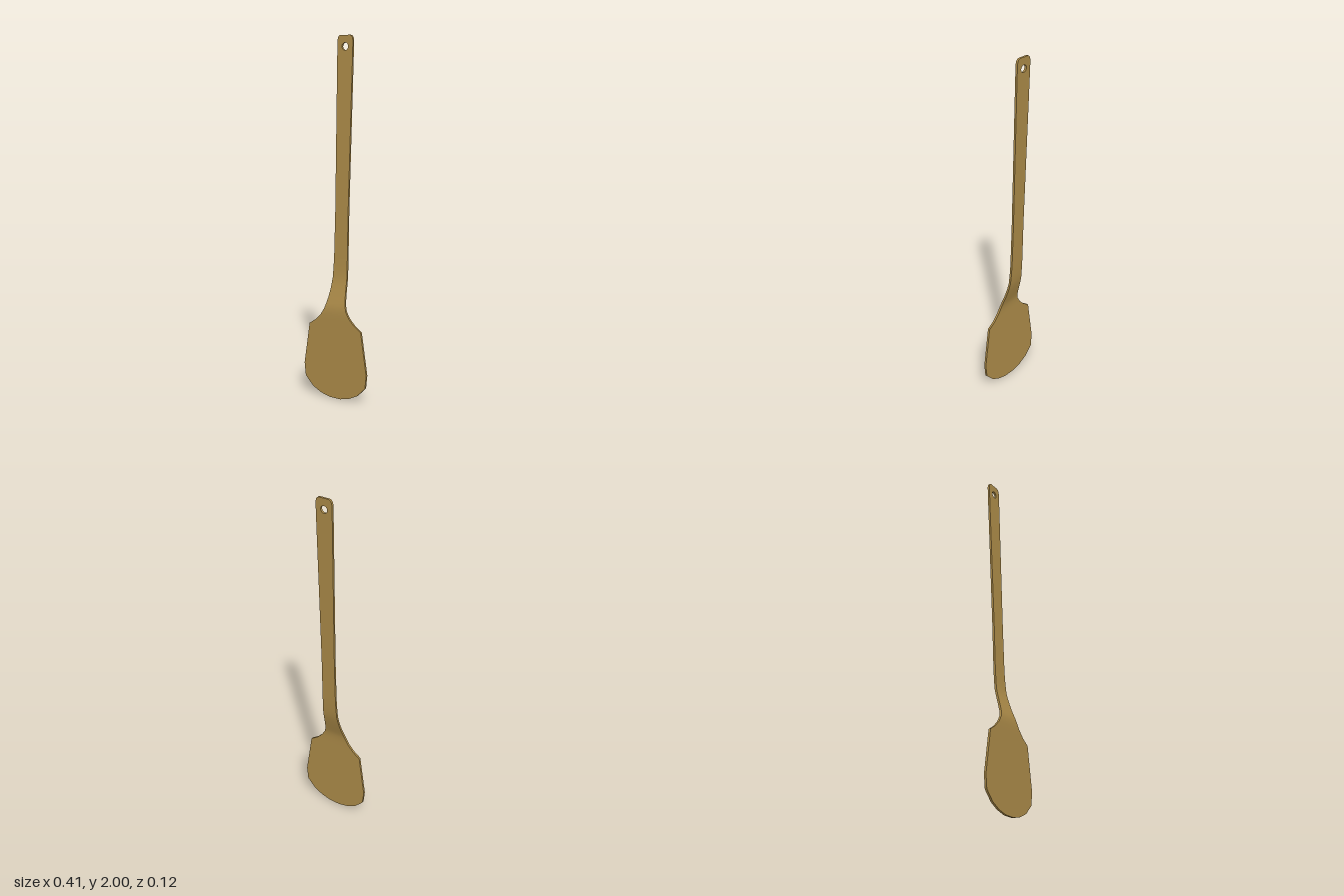
import * as THREE from 'three';

const HALF = 0.0062;          // half the thickness of the board
const TIP_Y = 1.85;           // where the handle meets its pierced end
const handleZ = (y) => -0.01 - (y - 0.8) * 0.0362;   // straight backward lean

// Rows up the spatula: height, half width, depth of the centre line
const ROWS = [
  [0, 0.035, 0.0505], [0.015, 0.095, 0.0505], [0.042, 0.148, 0.0505], [0.095, 0.199, 0.0505],
  [0.17, 0.207, 0.0505], [0.41, 0.17, 0.0505], [0.44, 0.127, 0.0505], [0.475, 0.093, 0.0505],
  [0.51, 0.072, 0.049], [0.54, 0.062, 0.042], [0.575, 0.055, 0.03], [0.61, 0.051, 0.019],
  [0.64, 0.0485, 0.01], [0.68, 0.0465, 0], [0.73, 0.045, -0.005], [0.8, 0.0435, handleZ(0.8)],
  [1.05, 0.042, handleZ(1.05)], [1.55, 0.046, handleZ(1.55)], [TIP_Y, 0.0485, handleZ(TIP_Y)],
];

// Four strips (front, left, back, right) keep sharp rims and a smooth bend
function bodyGeometry() {
  const pos = [], index = [];
  const corners = ROWS.map(([y, w, z]) => [
    [-w, y, z + HALF], [w, y, z + HALF], [w, y, z - HALF], [-w, y, z - HALF],
  ]);
  for (let k = 0; k < 4; k++) {
    const start = pos.length / 3;
    corners.forEach((c, i) => {
      pos.push(...c[k], ...c[(k + 1) % 4]);
      if (i === 0) return;
      const b = start + i * 2, a = b - 2;
      index.push(a, a + 1, b + 1, a, b + 1, b);
    });
  }
  // bottom edge
  const s = pos.length / 3;
  [0, 3, 2, 1].forEach((k) => pos.push(...corners[0][k]));
  index.push(s, s + 1, s + 2, s, s + 2, s + 3);
  const g = new THREE.BufferGeometry();
  g.setAttribute('position', new THREE.Float32BufferAttribute(pos, 3));
  g.setIndex(index);
  g.computeVertexNormals();
  return g;
}

// Rounded end with a hanging hole, sheared to follow the leaning handle
function tipGeometry() {
  const s = new THREE.Shape();
  s.moveTo(-0.0485, TIP_Y);
  s.lineTo(0.0485, TIP_Y);
  s.lineTo(0.049, 1.965);
  s.quadraticCurveTo(0.048, 1.997, 0.03, 2);
  s.lineTo(-0.03, 2);
  s.quadraticCurveTo(-0.048, 1.997, -0.049, 1.965);
  s.closePath();
  const hole = new THREE.Path();
  hole.absarc(0, 1.94, 0.02, 0, Math.PI * 2, true);
  s.holes.push(hole);
  const g = new THREE.ExtrudeGeometry(s, { depth: HALF * 2, bevelEnabled: false, curveSegments: 8 });
  const p = g.attributes.position;
  for (let i = 0; i < p.count; i++) p.setZ(i, p.getZ(i) - HALF + handleZ(p.getY(i)));
  g.computeVertexNormals();
  return g;
}

export function createModel() {
  const wood = new THREE.MeshStandardMaterial({ color: 0xab8a48 });
  wood.name = 'wood';
  const group = new THREE.Group();
  group.name = 'spatula';
  const add = (name, geometry) => {
    const mesh = new THREE.Mesh(geometry, wood);
    mesh.name = name;
    group.add(mesh);
  };
  add('bladeAndHandle', bodyGeometry());
  add('handleEnd', tipGeometry());
  return group;
}
